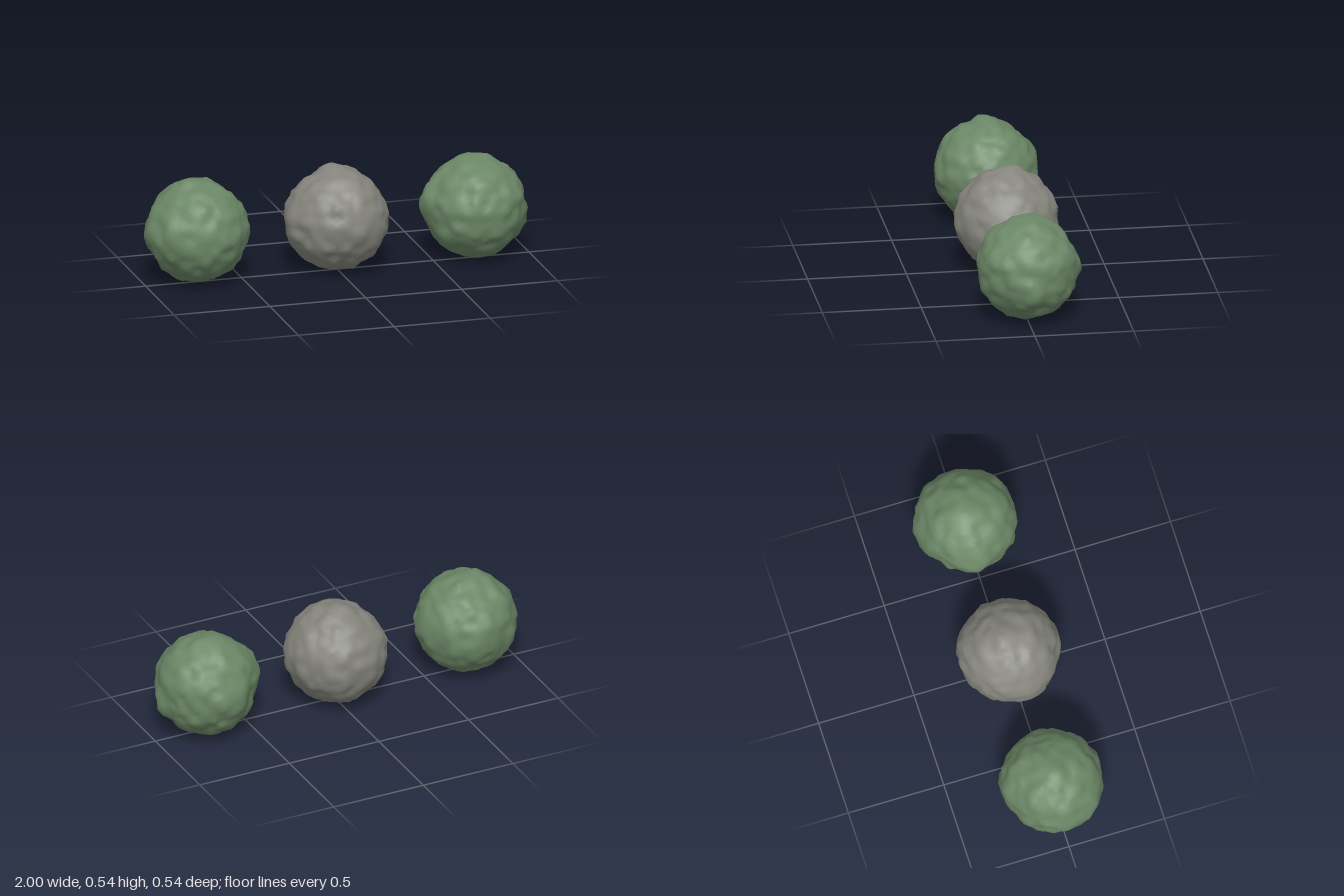
import * as THREE from 'three';
import { mergeVertices } from 'three/addons/utils/BufferGeometryUtils.js';

const RADIUS = 0.256;

// Repeatable lattice value in -1..1
function hash(x, y, z, seed) {
  let h = Math.imul(x, 374761393) ^ Math.imul(y, 668265263) ^ Math.imul(z, 2147483647) ^ Math.imul(seed, 1274126177);
  h = Math.imul(h ^ (h >>> 13), 1103515245);
  h = Math.imul(h ^ (h >>> 15), 2246822519);
  return ((h ^ (h >>> 16)) >>> 0) / 2147483648 - 1;
}

// Smooth value noise in three dimensions
function noise(p, frequency, seed) {
  const c = [p.x, p.y, p.z].map(v => v * frequency + 50.37);
  const i = c.map(Math.floor);
  const f = c.map((v, k) => v - i[k]).map(t => t * t * (3 - 2 * t));
  let sum = 0;
  for (let n = 0; n < 8; n++) {
    const b = [n & 1, (n >> 1) & 1, n >> 2];
    const w = b.reduce((a, bit, k) => a * (bit ? f[k] : 1 - f[k]), 1);
    sum += w * hash(i[0] + b[0], i[1] + b[1], i[2] + b[2], seed);
  }
  return sum;
}

// Lumpy ball; knobs are [x, y, z, height], a negative height makes a dent
function lumpyBall({ name, seed, x, knobs }, material) {
  let geometry = new THREE.IcosahedronGeometry(1, 11);
  geometry.deleteAttribute('normal');
  geometry.deleteAttribute('uv');
  geometry = mergeVertices(geometry, 1e-4);

  const bumps = knobs.map(([kx, ky, kz, height]) => ({ dir: new THREE.Vector3(kx, ky, kz).normalize(), height }));
  const pos = geometry.attributes.position;
  const p = new THREE.Vector3();
  for (let i = 0; i < pos.count; i++) {
    p.fromBufferAttribute(pos, i).normalize();
    let r = 1 + 0.02 * noise(p, 2.6, seed) + 0.05 * noise(p, 6, seed + 7);
    for (const { dir, height } of bumps) r += height * Math.exp(-25 * (1 - p.dot(dir)));
    p.multiplyScalar(r * RADIUS);
    pos.setXYZ(i, p.x, p.y, p.z);
  }
  geometry.computeVertexNormals();

  const mesh = new THREE.Mesh(geometry, material);
  mesh.name = name;
  mesh.position.set(x, 0.272, -0.005);
  return mesh;
}

export function createModel() {
  const moss = new THREE.MeshStandardMaterial({ color: 0x6b8766 });
  moss.name = 'moss green';
  const stone = new THREE.MeshStandardMaterial({ color: 0x85857d });
  stone.name = 'stone grey';

  const group = new THREE.Group();
  group.name = 'rocks';
  group.add(
    lumpyBall({
      name: 'rightMossyRock', seed: 11, x: -0.73,
      knobs: [
        [-1, 0.1, 0, 0.05], [1, 0, 0, 0.035], [-0.25, 1, 0, 0.06], [-0.2, -1, 0, 0.03],
        [0, 0.2, -1, 0.05], [-0.85, 0, 0.6, 0.05],
      ],
    }, moss),
    lumpyBall({
      name: 'middleRock', seed: 23, x: -0.005,
      knobs: [
        [-1, 0, 0, 0.05], [1, 0.1, 0.3, 0.03], [0, 1, -0.1, 0.06], [0.1, -1, 0, 0.06],
        [0.2, 0, 1, 0.06], [-0.6, 0.8, 0, -0.04],
      ],
    }, stone),
    lumpyBall({
      name: 'leftMossyRock', seed: 37, x: 0.72,
      knobs: [
        [-1, 0.2, 0, 0.11], [1, -0.3, 0, 0.09], [0, 1, 0, 0.04], [0, -1, 0, 0.02],
        [0, 0, -1, 0.05], [-0.7, 0, -0.7, -0.08], [0.2, 0.7, -0.6, -0.05],
      ],
    }, moss),
  );
  return group;
}
